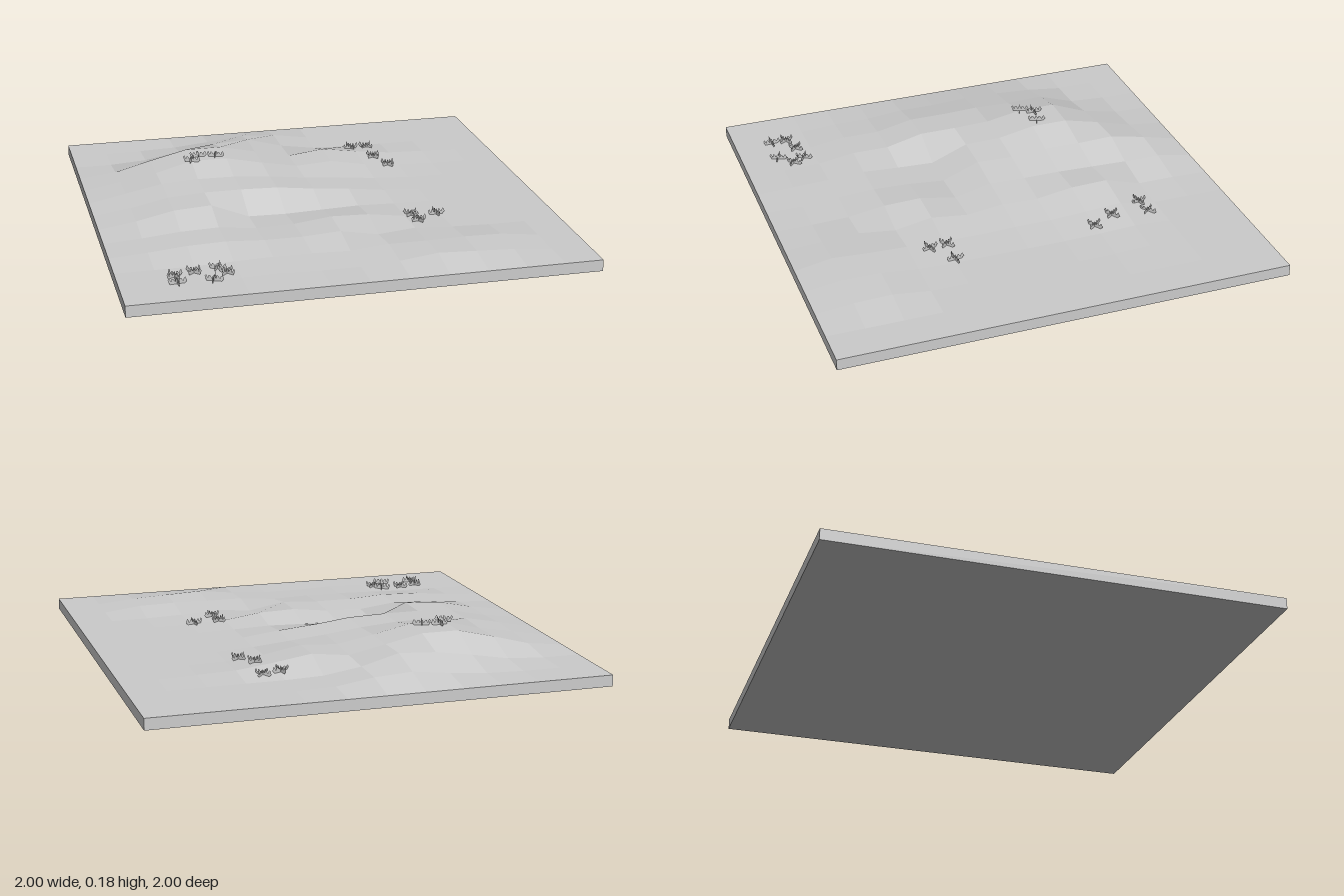
import * as THREE from 'three';

const N = 12, STEP = 2 / N, RIM = 0.05;

// Heights of the inner grid points in hundredths, back row first, left to right
const HEIGHTS = [
  [5, 5, 5.5, 7, 9, 8, 5.5, 5, 5, 5, 5],
  [5, 6, 9, 11.5, 12.5, 8, 5.5, 5, 5, 5, 5],
  [7, 11.5, 15.5, 15.5, 12, 8.5, 10.5, 8, 6, 5.5, 5],
  [8, 11, 15.5, 15.5, 12, 9, 10, 7, 5.3, 5, 5],
  [8.3, 11.5, 12.5, 12.3, 11, 9, 7.5, 6, 5, 5, 5],
  [7.5, 11, 12, 12, 11.5, 9.5, 8, 6, 5, 5, 5],
  [7.5, 11, 12, 5.3, 5, 5.5, 6, 5.5, 5, 5, 5],
  [6, 7.5, 8, 6, 6.5, 8.5, 8, 5.7, 5, 5, 5],
  [6, 7.5, 8, 7, 7, 8, 5, 6.5, 5.5, 5, 5],
  [5, 5, 5.5, 6, 6, 5.5, 7, 7, 7.3, 7, 5],
  [5, 5, 5, 5.5, 5, 5, 6, 8, 7.3, 6.5, 5],
];

const heightAt = (i, j) =>
  i < 1 || j < 1 || i >= N || j >= N ? RIM : HEIGHTS[j - 1][i - 1] / 100;

// Ground height between the grid points
function groundAt(x, z) {
  const u = (x + 1) / STEP, v = (z + 1) / STEP;
  const i = Math.floor(u), j = Math.floor(v), a = u - i, b = v - j;
  return (heightAt(i, j) * (1 - a) + heightAt(i + 1, j) * a) * (1 - b)
    + (heightAt(i, j + 1) * (1 - a) + heightAt(i + 1, j + 1) * a) * b;
}

// Hilly top: one flat normal for each four-sided patch
function terrainGeometry() {
  const positions = [], normals = [];
  const point = (i, j) => new THREE.Vector3(-1 + i * STEP, heightAt(i, j), -1 + j * STEP);
  for (let j = 0; j < N; j++) {
    for (let i = 0; i < N; i++) {
      const a = point(i, j), b = point(i + 1, j), c = point(i, j + 1), d = point(i + 1, j + 1);
      const normal = c.clone().sub(b).cross(d.clone().sub(a)).normalize();
      if (normal.y < 0) normal.negate();
      for (const p of [a, c, b, b, c, d]) {
        positions.push(p.x, p.y, p.z);
        normals.push(normal.x, normal.y, normal.z);
      }
    }
  }
  const geometry = new THREE.BufferGeometry();
  geometry.setAttribute('position', new THREE.Float32BufferAttribute(positions, 3));
  geometry.setAttribute('normal', new THREE.Float32BufferAttribute(normals, 3));
  return geometry;
}

// Fan of pointed blades for one upright grass card
function grassShape() {
  const shape = new THREE.Shape();
  const blades = 5, w = 0.084 / blades;
  shape.moveTo(-0.03, 0);
  for (let k = 0; k < blades; k++) {
    const x = -0.042 + k * w;
    shape.lineTo(x + w * 0.15, 0.022 + 0.004 * (k % 2));
    shape.lineTo(x + w * 0.55, 0.029 - 0.004 * (k % 2));
    shape.lineTo(x + w, 0.012);
  }
  shape.lineTo(0.03, 0);
  shape.closePath();
  return shape;
}

// Tufts: x, z, turn
const TUFTS = [
  [0.33, -0.59, 0.3], [0.41, -0.6, 0.75], [0.4, -0.43, 0.6], [0.445, -0.33, 0.6],
  [-0.46, -0.385, 0], [-0.38, -0.37, -0.3], [-0.5, -0.33, -0.4],
  [0.365, 0.33, 0.7], [0.48, 0.33, 0.15], [0.375, 0.41, 0.35],
  [-0.765, 0.76, 0.5], [-0.68, 0.735, 0.75], [-0.58, 0.72, -0.5],
  [-0.55, 0.775, 0.8], [-0.765, 0.83, 0.1], [-0.615, 0.835, -0.4],
];

export function createModel() {
  const model = new THREE.Group();
  const ground = new THREE.MeshStandardMaterial({ color: 0xcccccc });
  const thin = new THREE.MeshStandardMaterial({ color: 0xcccccc, side: THREE.DoubleSide });

  const terrain = new THREE.Mesh(terrainGeometry(), ground);
  terrain.name = 'terrain';
  model.add(terrain);

  // Four side walls and the underside
  const base = new THREE.Group();
  base.name = 'base';
  for (let k = 0; k < 4; k++) {
    const wall = new THREE.Mesh(new THREE.PlaneGeometry(2, RIM).translate(0, RIM / 2, 1), ground);
    wall.name = 'sideWall';
    wall.rotation.y = k * Math.PI / 2;
    base.add(wall);
  }
  const underside = new THREE.Mesh(new THREE.PlaneGeometry(2, 2).rotateX(Math.PI / 2), ground);
  underside.name = 'underside';
  base.add(underside);
  model.add(base);

  // Grass tufts, each two crossed cards
  const card = new THREE.ShapeGeometry(grassShape());
  for (const [x, z, turn] of TUFTS) {
    const tuft = new THREE.Group();
    tuft.name = 'grassTuft';
    for (let k = 0; k < 2; k++) {
      const blades = new THREE.Mesh(card, thin);
      blades.name = 'grassBlades';
      blades.rotation.y = k * Math.PI / 2;
      tuft.add(blades);
    }
    tuft.position.set(x, groundAt(x, z) - 0.002, z);
    tuft.rotation.y = turn;
    model.add(tuft);
  }
  return model;
}
